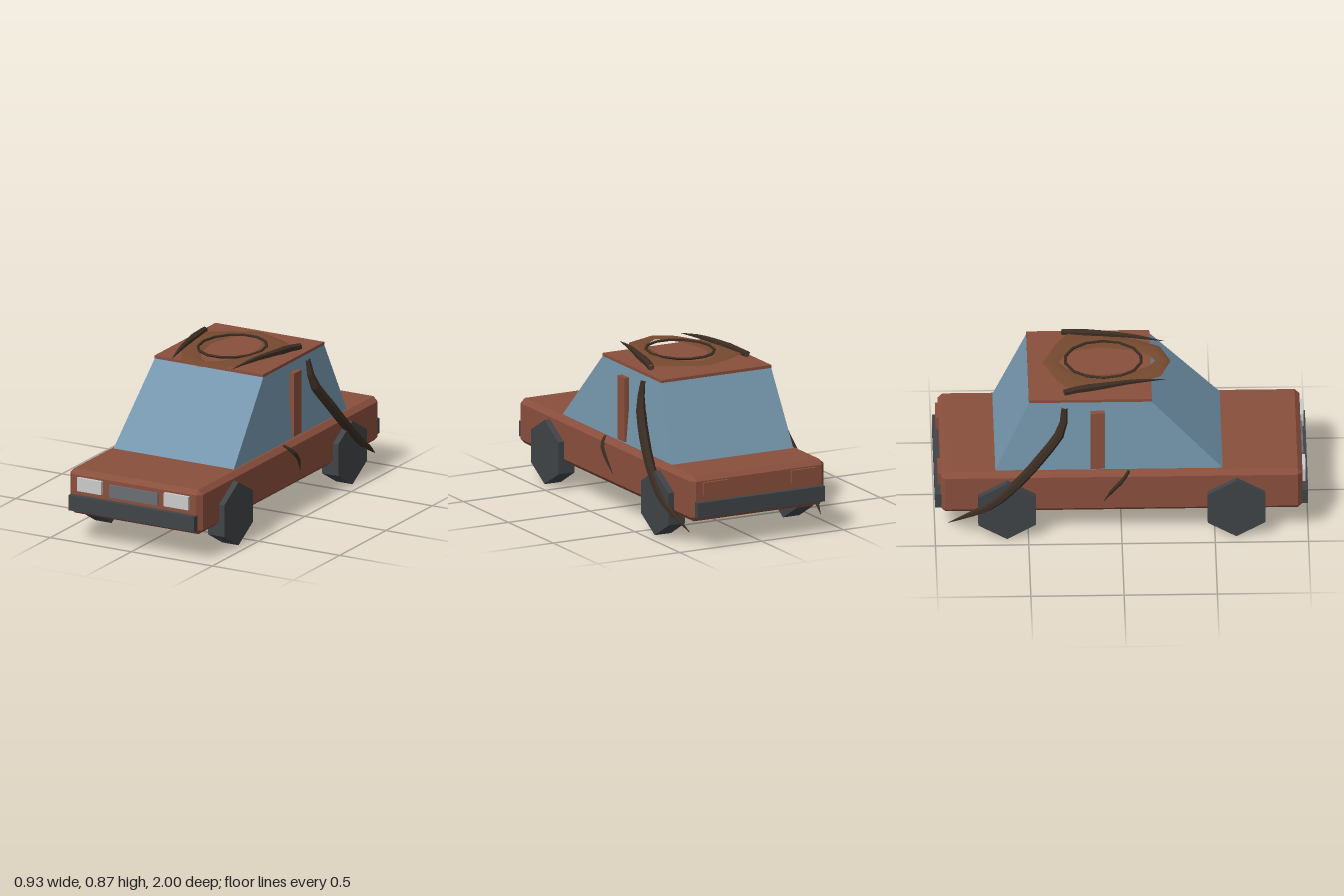
import * as THREE from 'three';
import { ConvexGeometry } from 'three/addons/geometries/ConvexGeometry.js';

const paint = (color, extra = {}) => new THREE.MeshStandardMaterial({ color, flatShading: true, ...extra });
const RUST = paint(0x8a4f3d);
const GLASS = paint(0x7596ad);
const DARK = paint(0x404448);
const GRILLE = paint(0x6a6e74);
const LAMP = paint(0xdddddd);
const HORN = paint(0x3a2c22, { side: THREE.DoubleSide });
const HIDE = paint(0x76492f, { side: THREE.DoubleSide, flatShading: false });

export function createModel() {
  const model = new THREE.Group();
  model.name = 'hornedCar';

  const add = (name, geometry, material) => {
    const mesh = new THREE.Mesh(geometry, material);
    mesh.name = name;
    model.add(mesh);
    return mesh;
  };

  // Box given by its extents on each axis
  const box = (name, material, [x0, x1], [y0, y1], [z0, z1]) =>
    add(name, new THREE.BoxGeometry(x1 - x0, y1 - y0, z1 - z0), material)
      .position.set((x0 + x1) / 2, (y0 + y1) / 2, (z0 + z1) / 2);

  // Curved tube whose radius follows a list of values along its length
  const taperedTube = (name, points, radii, segments = 10) => {
    const curve = new THREE.CatmullRomCurve3(points.map((p) => new THREE.Vector3(...p)));
    const sides = 6;
    const geometry = new THREE.TubeGeometry(curve, segments, 1, sides);
    const pos = geometry.attributes.position;
    const v = new THREE.Vector3();
    for (let i = 0; i <= segments; i++) {
      const center = curve.getPointAt(i / segments);
      const t = (i / segments) * (radii.length - 1);
      const k = Math.min(Math.floor(t), radii.length - 2);
      const r = THREE.MathUtils.lerp(radii[k], radii[k + 1], t - k);
      for (let j = 0; j <= sides; j++) {
        const n = i * (sides + 1) + j;
        v.fromBufferAttribute(pos, n).sub(center).multiplyScalar(r).add(center);
        pos.setXYZ(n, v.x, v.y, v.z);
      }
    }
    geometry.computeVertexNormals();
    return add(name, geometry, HORN);
  };

  // Lower body with chamfered edges
  const [hx, hy, hz, c] = [0.409, 0.125, 0.97, 0.026];
  const corners = [];
  for (const x of [-1, 1]) for (const y of [-1, 1]) for (const z of [-1, 1]) {
    corners.push(
      new THREE.Vector3(x * hx, y * (hy - c), z * (hz - c)),
      new THREE.Vector3(x * (hx - c), y * hy, z * (hz - c)),
      new THREE.Vector3(x * (hx - c), y * (hy - c), z * hz));
  }
  add('body', new ConvexGeometry(corners), RUST).position.y = 0.273;

  // Glass cabin narrowing to the roof
  const cabin = new THREE.BoxGeometry(2, 2, 2);
  const cp = cabin.attributes.position;
  for (let i = 0; i < cp.count; i++) {
    const top = cp.getY(i) > 0;
    const front = cp.getZ(i) > 0;
    const z = top ? (front ? 0.16 : -0.495) : (front ? 0.55 : -0.68);
    cp.setXYZ(i, cp.getX(i) * (top ? 0.335 : 0.372), top ? 0.806 : 0.39, z);
  }
  cabin.computeVertexNormals();
  add('cabinGlass', cabin, GLASS);
  box('roof', RUST, [-0.336, 0.336], [0.805, 0.821], [-0.496, 0.164]);

  // Bumpers and grille
  box('frontBumper', DARK, [-0.388, 0.388], [0.175, 0.26], [0.95, 1]);
  box('rearBumper', DARK, [-0.388, 0.388], [0.175, 0.26], [-1, -0.95]);
  box('grille', GRILLE, [-0.15, 0.15], [0.28, 0.35], [0.96, 0.98]);

  for (const s of [-1, 1]) {
    const side = s > 0 ? 'left' : 'right';
    const span = (a, b) => (s > 0 ? [a, b] : [-b, -a]);

    box(side + 'Headlight', LAMP, span(0.193, 0.343), [0.287, 0.362], [0.96, 0.988]);
    box(side + 'TailLight', RUST, span(0.193, 0.343), [0.295, 0.365], [-0.985, -0.96]);
    box(side + 'DoorPillar', RUST, span(0.353, 0.382), [0.408, 0.762], [-0.167, -0.09]);

    // Six-sided wheels
    for (const z of [0.615, -0.615]) {
      const wheel = add(side + (z > 0 ? 'FrontWheel' : 'RearWheel'),
        new THREE.CylinderGeometry(0.178, 0.178, 0.1, 6), DARK);
      wheel.geometry.rotateY(Math.PI / 2).rotateZ(Math.PI / 2);
      // Point a corner of the hexagon straight up
      const p = wheel.geometry.attributes.position;
      let highest = 0;
      for (let i = 0; i < p.count; i++) highest = Math.max(highest, p.getY(i));
      if (highest < 0.17) wheel.geometry.rotateX(Math.PI / 6);
      wheel.position.set(s * 0.392, 0.181, z);
    }

    // Long tentacle sweeping back over the rear wheel
    taperedTube(side + 'Tentacle', [
      [s * 0.34, 0.775, -0.305], [s * 0.365, 0.65, -0.32], [s * 0.405, 0.5, -0.43],
      [s * 0.432, 0.35, -0.56], [s * 0.44, 0.22, -0.70], [s * 0.425, 0.15, -0.82],
      [s * 0.4, 0.085, -0.93],
    ], [0.016, 0.027, 0.028, 0.027, 0.026, 0.018, 0.001], 12);

    // Small claw on the door
    taperedTube(side + 'DoorClaw', [
      [s * 0.385, 0.395, 0.04], [s * 0.425, 0.36, 0.005],
      [s * 0.432, 0.3, -0.05], [s * 0.415, 0.22, -0.097],
    ], [0.008, 0.011, 0.009, 0.001], 6);

    // Horn lying along the roof
    taperedTube(side + 'RoofHorn', [
      [s * 0.295, 0.842, -0.305], [s * 0.28, 0.848, -0.25], [s * 0.255, 0.856, -0.1],
      [s * 0.222, 0.86, 0.06], [s * 0.185, 0.848, 0.24],
    ], [0.018, 0.022, 0.016, 0.011, 0.001], 8);
  }

  // Hide collar above the roof: outer edge, crest and inner edge in [x, z]
  const mirrorLoop = (half) => [...half, ...half.slice(1, -1).reverse().map(([x, z]) => [-x, z])];
  const outer = mirrorLoop([[0, -0.415], [0.17, -0.345], [0.285, -0.27], [0.275, -0.1],
    [0.215, 0.08], [0.145, 0.215], [0, 0.272]]);
  const inner = mirrorLoop([[0, -0.33], [0.07, -0.29], [0.11, -0.22], [0.135, -0.1],
    [0.105, 0.06], [0.05, 0.155], [0, 0.19]]);
  const crest = outer.map(([x, z], i) => [(x + inner[i][0]) / 2, (z + inner[i][1]) / 2]);
  const n = outer.length;
  const verts = [];
  [[outer, 0.842], [crest, 0.858], [inner, 0.846]].forEach(([loop, y]) =>
    loop.forEach(([x, z]) => verts.push(x, y, z)));
  const faces = [];
  for (let r = 0; r < 2; r++) for (let i = 0; i < n; i++) {
    const a = r * n + i;
    const b = r * n + (i + 1) % n;
    faces.push(a, a + n, b, b, a + n, b + n);
  }
  const collar = new THREE.BufferGeometry();
  collar.setAttribute('position', new THREE.Float32BufferAttribute(verts, 3));
  collar.setIndex(faces);
  collar.computeVertexNormals();
  add('roofCollar', collar, HIDE);

  // Thin dark rim on the collar
  const rim = add('collarRim', new THREE.TorusGeometry(1, 0.045, 5, 14).rotateX(Math.PI / 2), HORN);
  rim.scale.set(0.179, 0.16, 0.206);
  rim.position.set(0, 0.857, -0.09);

  return model;
}
